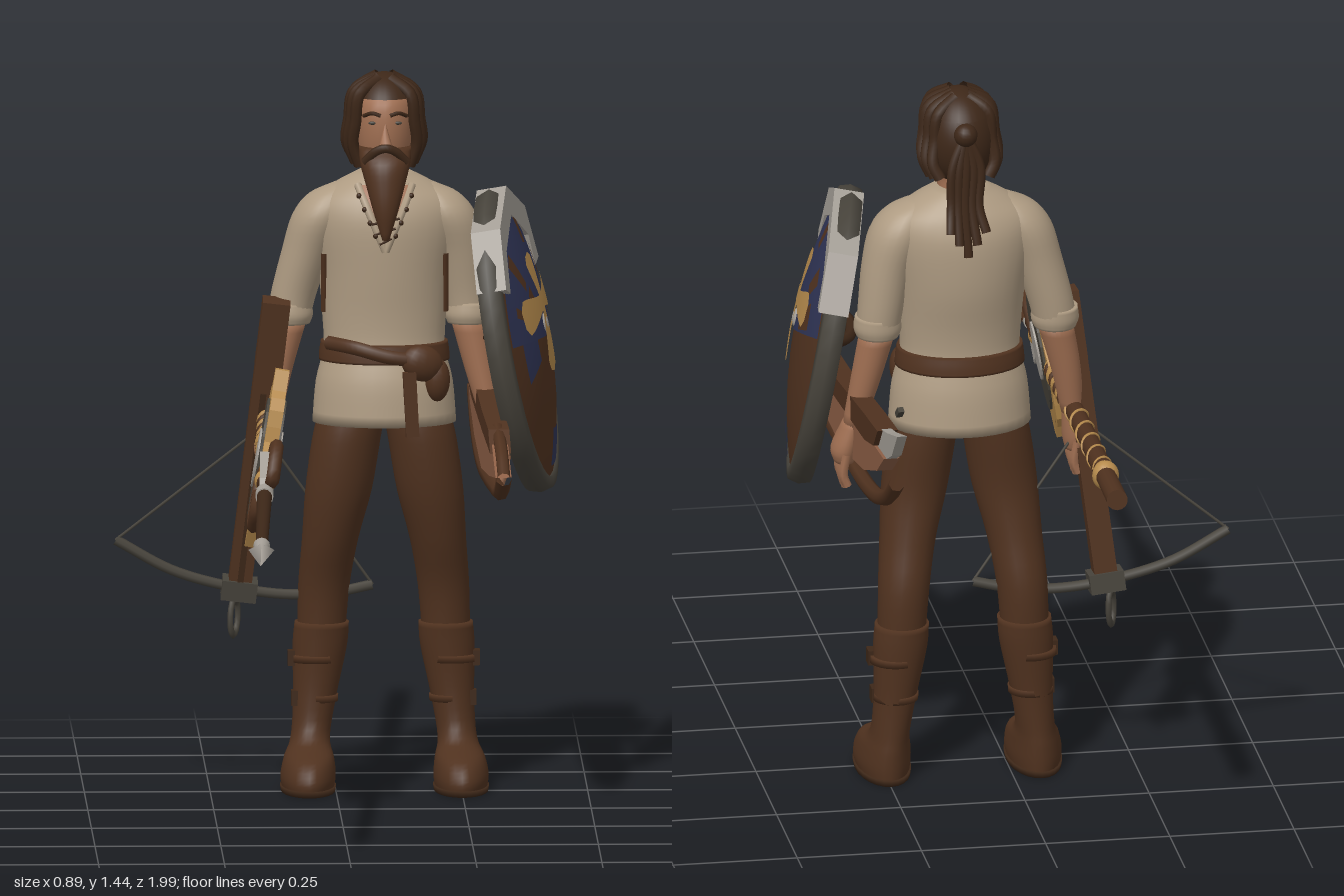
import * as THREE from 'three';

const mat = (name, color, side = THREE.FrontSide) => {
  const m = new THREE.MeshStandardMaterial({ color, side });
  m.name = name;
  return m;
};
const linen = mat('linen', 0xae9b82);
const leather = mat('leather', 0x50321f);
const hairBrown = mat('hair brown', 0x3d2718, THREE.DoubleSide);
const skin = mat('skin', 0xa06f52);
const gold = mat('gold', 0xb58a4c);
const silver = mat('silver', 0xa49e96);
const blue = mat('blue', 0x2f3455);
const iron = mat('iron', 0x47433b);
const rosewood = mat('rosewood', 0x8d5f46);

const CX = 0.097; // middle of the body
const V = (p) => new THREE.Vector3(...p);

function add(parent, name, geo, material, pos = [0, 0, 0], rot = [0, 0, 0], scale = [1, 1, 1]) {
  const m = new THREE.Mesh(geo, material);
  m.name = name;
  m.position.set(...pos);
  m.rotation.set(...rot);
  m.scale.set(...scale);
  parent.add(m);
  return m;
}
const group = (parent, name) => {
  const g = new THREE.Group();
  g.name = name;
  parent.add(g);
  return g;
};

// Smooth sampler over rings [x, y, z, rx, rz]
function ringSampler(rings) {
  const c = new THREE.CatmullRomCurve3(rings.map((r) => V(r.slice(0, 3))), false, 'catmullrom');
  const s = new THREE.CatmullRomCurve3(rings.map((r) => new THREE.Vector3(r[3], 0, r[4])), false, 'catmullrom');
  return (t) => [c.getPoint(t), s.getPoint(t)];
}
// Closed skin through elliptical rings listed from bottom to top
function loft(rings, seg = 24, sub = 4) {
  const at = ringSampler(rings), n = (rings.length - 1) * sub, pos = [], idx = [];
  for (let j = 0; j <= n; j++) {
    const [c, s] = at(j / n);
    for (let i = 0; i < seg; i++) {
      const a = (i / seg) * Math.PI * 2;
      pos.push(c.x + Math.cos(a) * s.x, c.y, c.z + Math.sin(a) * s.z);
    }
  }
  for (let j = 0; j < n; j++) for (let i = 0; i < seg; i++) {
    const a = j * seg + i, b = j * seg + (i + 1) % seg;
    idx.push(a, a + seg, b, b, a + seg, b + seg);
  }
  const lo = pos.length / 3, first = rings[0], last = rings[rings.length - 1];
  pos.push(...first.slice(0, 3), ...last.slice(0, 3));
  for (let i = 0; i < seg; i++) {
    const k = (i + 1) % seg;
    idx.push(lo, i, k, lo + 1, n * seg + k, n * seg + i);
  }
  const g = new THREE.BufferGeometry();
  g.setAttribute('position', new THREE.Float32BufferAttribute(pos, 3));
  g.setIndex(idx);
  g.computeVertexNormals();
  return g;
}
const tube = (pts, r, n = 20) => new THREE.TubeGeometry(new THREE.CatmullRomCurve3(pts.map(V)), n, r, 7);
const ball = (r) => new THREE.SphereGeometry(r, 16, 12);
// Flat plate from an outline, centred on its thickness
function plate(pts, depth) {
  const g = new THREE.ExtrudeGeometry(new THREE.Shape(pts.map((p) => new THREE.Vector2(...p))), { depth, bevelEnabled: false });
  return g.translate(0, 0, -depth / 2);
}

function buildLegs(root) {
  for (const s of [-1, 1]) {
    const leg = group(root, s < 0 ? 'rightLeg' : 'leftLeg');
    const R = (o, y, z, rx, rz) => [CX + s * o, y, z, rx, rz];
    add(leg, 'trouserLeg', loft([R(.125, .28, -.335, .047, .048), R(.119, .4, -.33, .051, .056), R(.107, .5, -.305, .056, .062),
      R(.091, .6, -.287, .066, .067), R(.076, .7, -.285, .068, .074), R(.064, .76, -.288, .066, .072), R(.055, .82, -.29, .06, .068)]), leather);
    add(leg, 'boot', loft([R(.152, 0, -.265, .05, .113), R(.152, .03, -.265, .055, .115), R(.15, .065, -.28, .05, .1),
      R(.146, .1, -.325, .039, .053), R(.137, .18, -.334, .043, .045), R(.127, .28, -.335, .054, .051), R(.123, .33, -.333, .054, .054)]), leather);
    add(leg, 'sole', loft([R(.152, 0, -.265, .054, .117), R(.152, .012, -.265, .056, .118)], 24, 1), hairBrown);
    for (const [y, r] of [[.17, .045], [.25, .052]]) {
      add(leg, 'bootStrap', loft([R(.136, y, -.334, r, r), R(.135, y + .014, -.334, r, r)], 24, 1), leather);
      add(leg, 'bootBuckle', new THREE.BoxGeometry(.014, .03, .03), hairBrown, [CX + s * (.132 + r), y + .008, -.322]);
    }
  }
}

function buildTorso(root) {
  const rings = [[CX, .738, -.29, .143, .114], [CX, .82, -.29, .136, .106], [CX, .885, -.292, .121, .09], [CX, .95, -.295, .123, .09],
    [CX, 1.04, -.3, .131, .1], [CX, 1.13, -.3, .147, .102], [CX, 1.18, -.3, .142, .09], [CX, 1.215, -.3, .098, .07], [CX, 1.24, -.3, .05, .05]];
  add(root, 'shirt', loft(rings, 32), linen);
  const at = ringSampler(rings);
  const frontZ = (x, y) => {
    let best = at(0);
    for (let t = 0; t <= 1; t += .01) if (Math.abs(at(t)[0].y - y) < Math.abs(best[0].y - y)) best = at(t);
    return best[0].z + best[1].z * Math.sqrt(Math.max(0, 1 - ((x - CX) / best[1].x) ** 2));
  };
  // Open neck, its edging and laces
  const neck = new THREE.PlaneGeometry(1, 1, 6, 8), p = neck.attributes.position;
  for (let i = 0; i < p.count; i++) {
    const h = p.getY(i) + .5, y = 1.09 + h * .128, x = CX + p.getX(i) * .1 * h;
    p.setXYZ(i, x, y, frontZ(x, y) + .005);
  }
  neck.computeVertexNormals();
  add(root, 'openNeck', neck, skin);
  for (const s of [-1, 1]) {
    const edge = [0, .35, .7, 1].map((h) => {
      const x = CX + s * .054 * h, y = 1.09 + h * .128;
      return [x, y, frontZ(x, y) + .004];
    });
    add(root, 'collarEdge', tube(edge, .008), linen);
    for (const h of [.25, .45, .65, .85]) {
      const x = CX + s * (.054 * h + .006), y = 1.09 + h * .128;
      add(root, 'eyelet', ball(.0055), hairBrown, [x, y, frontZ(x, y) + .008]);
    }
    // Laced slit along the side seam
    add(root, 'sideLacing', tube([.96, 1.0, 1.04, 1.08].map((y) => [CX + s * .12, y, frontZ(CX + s * .12, y)]), .007, 10), leather);
  }
  for (let k = 0; k < 3; k++) {
    const y = 1.105 + k * .02, w = .012 + k * .008;
    add(root, 'lace', tube([[CX - w, y, frontZ(CX, y) + .01], [CX + w, y + .012, frontZ(CX, y) + .01]], .0025, 2), hairBrown);
  }
  // Belt with knot and hanging end
  add(root, 'belt', loft([[CX, .862, -.292, .13, .102], [CX, .88, -.292, .129, .1], [CX, .9, -.292, .126, .096]], 32), leather);
  add(root, 'beltKnot', ball(.04), leather, [.17, .865, -.2], [0, .3, -.3], [1.1, .9, .6]);
  add(root, 'beltPouch', ball(.035), leather, [.2, .83, -.215], [0, .5, 0], [.75, 1.25, .7]);
  add(root, 'beltEnd', new THREE.BoxGeometry(.026, .13, .012), leather, [.147, .785, -.182], [0, .1, .05]);
  add(root, 'secondBeltWrap', tube([[-.015, .9, -.25], [.04, .895, -.2], [.1, .88, -.187], [.165, .87, -.195]], .014), leather);
}

function buildArm(root, name, xs) {
  const arm = group(root, name);
  const [a, b, c, d, e, f, h] = xs;
  const inward = (k) => a + (CX - a) * k;
  add(arm, 'sleeve', loft([[d, .945, -.31, .043, .046], [c, 1.0, -.31, .046, .05], [b, 1.08, -.305, .051, .058], [a, 1.15, -.3, .058, .066],
    [inward(.16), 1.192, -.3, .045, .05], [inward(.36), 1.216, -.3, .018, .025]]), linen);
  add(arm, 'rolledCuff', loft([[d, .932, -.308, .042, .045], [d, .95, -.308, .048, .05], [d, .975, -.31, .045, .048]]), linen);
  add(arm, 'forearm', loft([[f, .74, -.29, .022, .026], [e, .84, -.3, .03, .033], [d, .94, -.308, .036, .038]]), skin);
  add(arm, 'hand', loft([[h, .66, -.28, .02, .028], [h, .69, -.28, .026, .037], [f, .75, -.288, .02, .027]]), skin);
  for (let k = 0; k < 4; k++) {
    const z = -.315 + k * .021;
    add(arm, 'finger', tube([[h, .685, z], [h + .006, .64, z + .003], [h - .002, .605 + Math.abs(k - 1.5) * .008, z + .004]], .009, 8), skin);
  }
  add(arm, 'thumb', tube([[f, .72, -.265], [h, .68, -.24], [h, .65, -.235]], .01, 8), skin);
}

function buildHead(root) {
  const head = group(root, 'head');
  add(head, 'face', loft([[CX, 1.19, -.3, .05, .05], [CX, 1.235, -.295, .045, .047], [CX, 1.265, -.28, .05, .06], [CX, 1.32, -.283, .058, .075],
    [CX, 1.38, -.288, .058, .073], [CX, 1.41, -.292, .04, .045]]), skin);
  add(head, 'nose', new THREE.ConeGeometry(.013, .045, 8), skin, [CX, 1.325, -.204], [-.25, 0, 0]);
  add(head, 'beard', loft([[CX, 1.115, -.18, .007, .008], [CX, 1.17, -.185, .024, .022], [CX, 1.22, -.2, .038, .034],
    [CX, 1.265, -.222, .05, .045], [CX, 1.295, -.24, .052, .032]]), leather);
  add(head, 'moustache', tube([[CX - .042, 1.268, -.203], [CX - .02, 1.29, -.194], [CX, 1.297, -.19], [CX + .02, 1.29, -.194], [CX + .042, 1.268, -.203]], .009), hairBrown);
  for (const s of [-1, 1]) {
    add(head, 'eye', ball(.007), iron, [CX + s * .025, 1.345, -.216], [0, 0, 0], [1.2, .5, .5]);
    add(head, 'eyebrow', tube([[CX + s * .009, 1.36, -.21], [CX + s * .026, 1.365, -.214], [CX + s * .043, 1.358, -.228]], .004, 8), hairBrown);
  }
  // Hair cap, side locks and hanging braids
  add(head, 'hairTop', new THREE.SphereGeometry(1, 28, 12, 0, Math.PI * 2, 0, 1.0), hairBrown, [CX, 1.338, -.288], [0, 0, 0], [.075, .1, .096]);
  add(head, 'hairBack', new THREE.SphereGeometry(1, 28, 16, Math.PI / 2 + .95, Math.PI * 2 - 1.9, .8, 1.7), hairBrown, [CX, 1.338, -.292], [0, 0, 0], [.072, .098, .082]);
  for (const s of [-1, 1]) for (let k = 0; k < 5; k++) {
    const z = -.235 - k * .025, w = .058 + Math.sin(k * .8) * .012;
    add(head, 'sideLock', tube([[CX + s * .012, 1.428, -.258 - k * .014], [CX + s * w * .87, 1.4, z + .003], [CX + s * w, 1.345, z],
      [CX + s * (w + .005), 1.3, z - .01], [CX + s * w * .85, 1.255 + k * .004, z - .018]], .012), hairBrown);
  }
  add(head, 'hairKnot', ball(.024), hairBrown, [CX, 1.365, -.365]);
  for (let k = -2; k <= 2; k++) {
    const x = CX + k * .014;
    add(head, 'braid', tube([[CX, 1.37, -.365], [x, 1.3, -.375], [x + .004, 1.22, -.382], [x + k * .004, 1.12 + Math.abs(k) * .025, -.402]], .0095), hairBrown);
  }
}

function buildShield(root) {
  const g = group(root, 'shield');
  g.position.set(.353, .907, -.222);
  g.rotation.set(-.18, Math.PI / 2 - .165, 0, 'YXZ');
  const S = [.26, .307, 1], dome = (r) => .015 + .05 * (1 - r * r);
  const lathe = (pts) => new THREE.LatheGeometry(pts.map((q) => new THREE.Vector2(...q)), 40).rotateX(Math.PI / 2);
  add(g, 'shieldFace', lathe([.95, .8, .6, .4, .2, 0].map((r) => [r, dome(r)])), leather, [0, 0, 0], [0, 0, 0], S);
  add(g, 'shieldBack', lathe([[0, -.012], [.5, -.012], [.92, -.015]]), leather, [0, 0, 0], [0, 0, 0], S);
  add(g, 'shieldRim', lathe([[.9, -.02], [.98, -.018], [1, .005], [.98, .026], [.91, .03], [.9, .02]]), iron, [0, 0, 0], [0, 0, 0], S);
  // Painted patches that follow the dome
  const bend = (geo, lift) => {
    const p = geo.attributes.position;
    for (let i = 0; i < p.count; i++) p.setZ(i, dome(Math.hypot(p.getX(i) / S[0], p.getY(i) / S[1])) + lift);
    geo.computeVertexNormals();
    return geo;
  };
  const sector = (r0, r1, a0, a1) => new THREE.RingGeometry(r0, r1, 16, 6, a0, a1 - a0).scale(S[0], S[1], 1);
  add(g, 'blueField', bend(sector(.04, .86, .25, 3.1), .003), blue);
  add(g, 'blueLowerPatch', bend(sector(.6, .84, 4.6, 4.95), .003), blue);
  add(g, 'blueSidePatch', bend(sector(.35, .68, 3.1, 3.5), .003), blue);
  for (const [r0, r1, a0, a1] of [[.35, .62, .3, .6], [.5, .7, .75, .95], [.5, .78, 2.25, 2.4], [.25, .45, 2.2, 2.5], [.62, .8, 1.35, 1.5], [.5, .72, 2.75, 2.85]])
    add(g, 'brownPatch', bend(sector(r0, r1, a0, a1), .005), leather);
  for (const [a, len] of [[.12, .13], [1.75, .1], [3.25, .16], [4.6, .14]]) {
    const petal = new THREE.PlaneGeometry(1, 1, 8, 4), p = petal.attributes.position;
    for (let i = 0; i < p.count; i++) {
      const u = p.getX(i) + .5, w = (.03 + .05 * Math.sin(u * 2.2) * u) * (u > .95 ? .5 : 1);
      p.setXY(i, u * len, p.getY(i) * w);
    }
    petal.rotateZ(a).translate(0, .07, 0);
    add(g, 'goldPetal', bend(petal, .008), gold);
  }
  add(g, 'boss', ball(.02), silver, [0, .025, dome(.1)], [0, 0, 0], [1, 1, .5]);
  // Pale reinforced upper edge
  add(g, 'topGuard', plate([[-.232, .13], [-.17, .245], [.0, .308], [.185, .24], [.24, .13], [.185, .12], [.165, .185], [.0, .25], [-.14, .195], [-.185, .115]], .06), silver, [0, 0, .01]);
  add(g, 'armStrap', tube([[-.1, .02, -.01], [-.05, .02, -.04], [.05, .02, -.04], [.1, .02, -.01]], .012), hairBrown);
}

function buildSpear(root) {
  const g = group(root, 'spear'), a = V([-.103, .812, -.998]), b = V([-.185, .632, .99]);
  g.position.copy(a);
  g.quaternion.setFromUnitVectors(V([0, 0, 1]), b.clone().sub(a).normalize());
  const L = a.distanceTo(b), X = Math.PI / 2;
  add(g, 'rearShaft', new THREE.CylinderGeometry(.017, .021, 1.3, 14), leather, [0, 0, .65], [X, 0, 0]);
  add(g, 'frontShaft', new THREE.CylinderGeometry(.012, .016, L - 1.45, 14), hairBrown, [0, 0, 1.3 + (L - 1.45) / 2], [X, 0, 0]);
  add(g, 'spearTip', new THREE.ConeGeometry(.026, .14, 4), silver, [0, 0, L - .07], [X, 0, 0], [1, 1, .55]);
  add(g, 'tipSocket', new THREE.CylinderGeometry(.013, .017, .04, 12), silver, [0, 0, L - .155], [X, 0, 0]);
  add(g, 'shaftCollar', new THREE.CylinderGeometry(.018, .018, .04, 12), silver, [0, 0, 1.385], [X, 0, 0]);
  for (const [s, r] of [[.19, .03], [.21, .025], [.88, .024], [.95, .028], [1.0, .026], [1.27, .024]])
    add(g, 'goldCollar', ball(r), gold, [0, 0, s], [0, 0, 0], [.9, 1, .8]);
  for (let k = 0; k < 9; k++) add(g, 'gripBinding', new THREE.TorusGeometry(.018, .006, 6, 14), k % 2 ? gold : leather, [0, 0, .72 + k * .034]);
  // Gold cord wound around the rear shaft
  const cord = Array.from({ length: 37 }, (_, i) => [Math.cos(i * .9) * .019, Math.sin(i * .9) * .019, .23 + i * .013]);
  add(g, 'shaftCord', tube(cord, .004, 110), gold);
  // Jagged gold crest with layered inlays
  const crest = group(g, 'crest');
  crest.rotation.z = -.17;
  const outline = [];
  for (let i = 0; i < 32; i++) {
    const t = (i / 32) * Math.PI * 2, r = [1, 1, .83, .87][i % 4] * (i % 8 < 4 ? 1 : .93);
    outline.push([Math.cos(t) * .138 * r, Math.sin(t) * .182 * r]);
  }
  const disc = (rx, ry, d) => plate(Array.from({ length: 24 }, (_, i) => [Math.cos(i * Math.PI / 12) * rx, Math.sin(i * Math.PI / 12) * ry]), d);
  add(crest, 'crestPlate', plate(outline, .028), gold, [0, .01, 1.115], [0, -X, 0]);
  add(crest, 'crestInlay', disc(.088, .12, .038), iron, [0, .01, 1.115], [0, -X, 0]);
  add(crest, 'crestCentre', disc(.045, .06, .046), silver, [0, .01, 1.125], [0, -X, 0]);
  for (const s of [-1, 1]) {
    add(g, 'curledHorn', tube([[s * .01, s * .01, 1.22], [s * .022, s * .07, 1.27], [s * .022, s * .075, 1.34], [s * .016, s * .03, 1.375], [s * .012, s * .012, 1.33]], .014), leather);
    add(g, 'silverBlade', plate([[0, s * .012], [.05, s * .06], [.13, s * .025], [.15, 0]], .02), silver, [0, 0, 1.22], [0, -X, 0]);
  }
}

function buildCrossbow(root) {
  const g = group(root, 'crossbow');
  // Stock leans forward so that its butt lies in front of the forearm
  const stock = group(g, 'stock');
  stock.position.set(-.19, .395, -.335);
  stock.rotation.set(.125, 0, -.115, 'ZXY');
  add(stock, 'stockBeam', new THREE.BoxGeometry(.046, .5, .045), leather, [0, .23, 0]);
  add(stock, 'stockButt', new THREE.BoxGeometry(.055, .14, .06), leather, [.004, .53, .008]);
  add(stock, 'boltGroove', new THREE.BoxGeometry(.012, .4, .008), hairBrown, [0, .21, .024]);
  add(stock, 'limbMount', new THREE.BoxGeometry(.07, .04, .06), iron);
  add(g, 'bowLimb', tube([[-.435, .492, -.345], [-.32, .43, -.342], [-.19, .395, -.338], [-.09, .383, -.333], [0, .388, -.328], [.075, .404, -.322]], .0105, 30), iron);
  add(g, 'stirrup', new THREE.TorusGeometry(.022, .006, 6, 16), iron, [-.2, .338, -.34], [0, 1.1, -.1], [.8, 1.6, 1]);
  for (const end of [[-.435, .492, -.345], [.075, .404, -.322]]) add(g, 'bowString', tube([end, [-.15, .72, -.3]], .003, 2), iron);
}

// Curved scabbard on the left hip
function buildScabbard(root) {
  const g = group(root, 'scabbard'), rot = [0, -Math.PI / 2 + .035, 0], pos = [.31, 0, 0];
  add(g, 'scabbardBody', plate([[.25, .7], [.14, .75], [-.1, .765], [-.45, .775], [-.62, .785], [-.55, .735], [-.42, .69], [-.2, .655], [.05, .675]], .032), rosewood, pos, rot);
  add(g, 'scabbardSpine', plate([[.16, .735], [.1, .775], [-.1, .785], [-.45, .82], [-.58, .83], [-.54, .785], [-.45, .765], [-.1, .745]], .042), leather, pos, rot);
  add(g, 'bladeTip', plate([[-.5, .815], [-.62, .84], [-.725, .87], [-.67, .81], [-.6, .775], [-.52, .77]], .02), silver, pos, rot);
  add(g, 'bladeBarb', plate([[-.68, .905], [-.705, .925], [-.72, .92], [-.695, .9]], .012), iron, pos, rot);
  const edge = (pts, r) => tube(pts.map(([z, y]) => [.31 + z * .035, y, z]), r, 32);
  add(g, 'frontBinding', edge([[.26, .7], [.2, .735], [.14, .755], [.05, .77]], .013), leather);
  add(g, 'lowerBow', edge([[.26, .7], [.17, .66], [.05, .65], [-.15, .64], [-.35, .638], [-.5, .66], [-.6, .7], [-.67, .75]], .016), leather);
}

export function createModel() {
  const root = new THREE.Group();
  root.name = 'warrior';
  buildLegs(root);
  buildTorso(root);
  buildArm(root, 'rightArm', [-.028, -.055, -.08, -.092, -.115, -.13, -.137]);
  buildArm(root, 'leftArm', [.222, .245, .258, .265, .287, .31, .328]);
  buildHead(root);
  buildShield(root);
  buildSpear(root);
  buildCrossbow(root);
  buildScabbard(root);
  return root;
}
